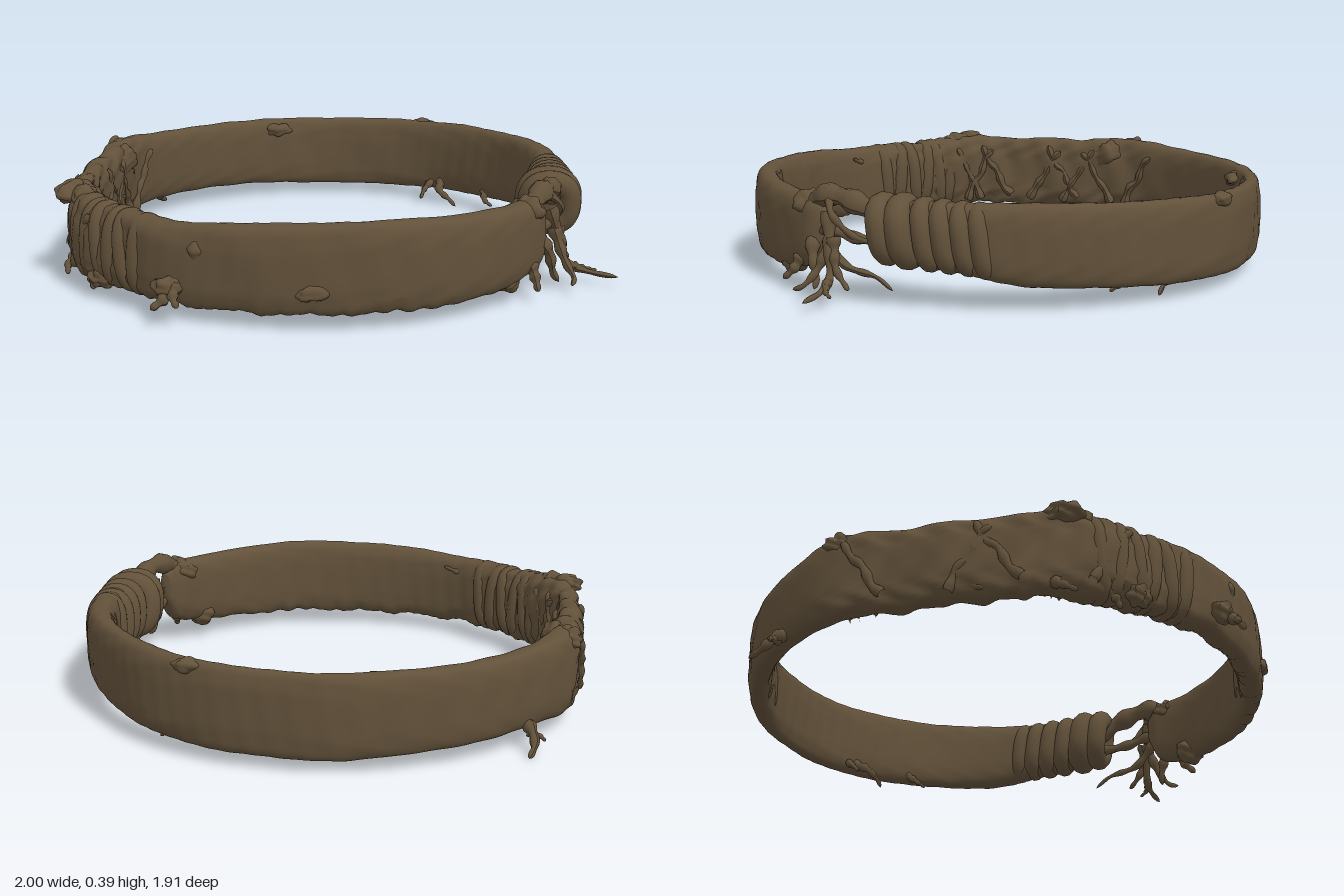
import * as THREE from 'three';
import { mergeGeometries } from 'three/addons/utils/BufferGeometryUtils.js';

const V = (x, y, z) => new THREE.Vector3(x, y, z);
const spow = (v, e) => Math.sign(v) * Math.abs(v) ** e;
const smooth = THREE.MathUtils.smoothstep;

// layered waves used as a rough-surface rule
const rough = (x, y, z) =>
  Math.sin(13 * x + 9 * z + 7 * y) * 0.5 +
  Math.sin(31 * x - 23 * z + 19 * y) * 0.3 +
  Math.sin(47 * z + 41 * y + 29 * x) * Math.sin(37 * x - 53 * y) * 0.5;

// band stations: x, z, half thickness, bottom, top
const STATIONS = [
  [0.71, 0.39, 0.02, 0.2, 0.3], [0.685, 0.45, 0.052, 0.1, 0.345], [0.58, 0.6, 0.052, 0.07, 0.35],
  [0.4, 0.755, 0.048, 0.065, 0.358], [0.2, 0.85, 0.048, 0.06, 0.367], [-0.03, 0.882, 0.048, 0.06, 0.362],
  [-0.28, 0.862, 0.05, 0.06, 0.35], [-0.5, 0.785, 0.055, 0.06, 0.335], [-0.68, 0.645, 0.065, 0.06, 0.335],
  [-0.83, 0.5, 0.065, 0.05, 0.34], [-0.91, 0.33, 0.058, 0.05, 0.35], [-0.93, 0.1, 0.048, 0.06, 0.35],
  [-0.925, -0.12, 0.048, 0.06, 0.345], [-0.915, -0.33, 0.058, 0.06, 0.36], [-0.8, -0.54, 0.048, 0.07, 0.345],
  [-0.61, -0.74, 0.045, 0.065, 0.34], [-0.4, -0.86, 0.042, 0.06, 0.34], [-0.2, -0.917, 0.038, 0.05, 0.34],
  [0, -0.92, 0.036, 0.05, 0.34], [0.2, -0.883, 0.038, 0.055, 0.345], [0.4, -0.785, 0.042, 0.06, 0.35],
  [0.55, -0.65, 0.042, 0.07, 0.355], [0.68, -0.48, 0.045, 0.08, 0.36], [0.76, -0.28, 0.055, 0.095, 0.365],
  [0.78, -0.1, 0.06, 0.13, 0.36], [0.77, 0.05, 0.06, 0.14, 0.36], [0.765, 0.16, 0.03, 0.2, 0.32],
];
const path = new THREE.CatmullRomCurve3(STATIONS.map(s => V(s[0], 0, s[1])));
const size = new THREE.CatmullRomCurve3(STATIONS.map(s => V(s[2], s[3], s[4])));

// centre, outward direction and section size of the band at t
function bandAt(t) {
  const tan = path.getTangent(t);
  return { p: path.getPoint(t), out: V(tan.z, 0, -tan.x).normalize(), s: size.getPoint(t) };
}

function bandGeometry(rows = 420, sides = 44) {
  const pos = [], index = [];
  for (let i = 0; i <= rows; i++) {
    const t = i / rows, { p, out, s } = bandAt(t);
    const taper = i === 0 || i === rows ? 0.02 : 1;
    // rougher on the weathered left side, smooth at the back
    const wild = smooth(-p.x, 0.45, 0.85) * smooth(p.z, -0.48, -0.25);
    const amp = 0.004 + 0.013 * wild;
    for (let j = 0; j < sides; j++) {
      const a = j / sides * Math.PI * 2, c = Math.cos(a), q = Math.sin(a);
      const y0 = (s.y + s.z) / 2 + spow(q, 0.6) * (s.z - s.y) / 2 * taper;
      const u = (spow(c, 0.65) * 0.9 + c * 0.1) * s.x * taper;
      const n = rough(p.x + out.x * u, y0, p.z + out.z * u) * amp * taper;
      const rag = q < -0.5 ? 0.009 * rough(p.x * 2, 0, p.z * 2) * smooth(p.z, -0.4, 0.2) * taper : 0;
      pos.push(p.x + out.x * (u + n * c), y0 + n * q * 0.6 + rag, p.z + out.z * (u + n * c));
      if (i < rows) {
        const k = (j + 1) % sides, A = i * sides + j, B = i * sides + k;
        index.push(A, B, A + sides, B, B + sides, A + sides);
      }
    }
  }
  const g = new THREE.BufferGeometry();
  g.setAttribute('position', new THREE.Float32BufferAttribute(pos, 3));
  g.setIndex(index);
  g.computeVertexNormals();
  return g;
}

// closed strand wound round the band
function windGeometry(c, out, halfOut, halfH, r, lean = 0) {
  const along = V(-out.z, 0, out.x), pts = [];
  for (let i = 0; i < 20; i++) {
    const a = i / 20 * Math.PI * 2;
    pts.push(c.clone().addScaledVector(out, spow(Math.cos(a), 0.8) * (halfOut - r))
      .addScaledVector(along, lean * Math.sin(a))
      .add(V(0, spow(Math.sin(a), 0.8) * (halfH - r), 0)));
  }
  return new THREE.TubeGeometry(new THREE.CatmullRomCurve3(pts, true), 72, r, 12, true);
}

// tapering, knobbly twig through points
function twigGeometry(pts, r, tip = 0.25) {
  const curve = new THREE.CatmullRomCurve3(pts.map(p => V(...p))), n = 20, sides = 8;
  const g = new THREE.TubeGeometry(curve, n, r, sides), pos = g.attributes.position, v = V(0, 0, 0);
  for (let i = 0; i < pos.count; i++) {
    const f = Math.floor(i / (sides + 1)) / n;
    const k = f === 1 ? 0.02 : (1 - (1 - tip) * f) * (1 + 0.2 * Math.sin(f * 23));
    v.fromBufferAttribute(pos, i);
    v.sub(curve.getPointAt(f)).multiplyScalar(k).add(curve.getPointAt(f));
    pos.setXYZ(i, v.x, v.y, v.z);
  }
  g.computeVertexNormals();
  return g;
}

// uneven lump: centre and radii
function lumpGeometry([x, y, z, rx, ry, rz]) {
  const g = new THREE.SphereGeometry(1, 24, 16).scale(rx, ry, rz).translate(x, y, z);
  const pos = g.attributes.position;
  for (let i = 0; i < pos.count; i++) {
    const k = 1 + 0.35 * rough(pos.getX(i) * 2, pos.getY(i) * 2, pos.getZ(i) * 2);
    pos.setXYZ(i, x + (pos.getX(i) - x) * k, y + (pos.getY(i) - y) * k, z + (pos.getZ(i) - z) * k);
  }
  g.computeVertexNormals();
  return g;
}

export function createModel() {
  const group = new THREE.Group();
  const bark = new THREE.MeshStandardMaterial({ color: 0x62513a });
  bark.name = 'brown bark';
  const add = (name, geos) => {
    const m = new THREE.Mesh(geos.length > 1 ? mergeGeometries(geos) : geos[0], bark);
    m.name = name;
    group.add(m);
  };

  add('band', [bandGeometry()]);

  // clasp coils on the left-hand side: z, half width, half height, strand radius
  add('claspCoils', [
    [0.165, 0.115, 0.122, 0.042], [0.095, 0.122, 0.128, 0.046], [0.015, 0.1, 0.125, 0.034],
    [-0.05, 0.095, 0.125, 0.036], [-0.115, 0.09, 0.125, 0.034], [-0.175, 0.08, 0.128, 0.034],
  ].map(([z, w, h, r], i) => windGeometry(V(0.765 + (i > 1 ? 0.012 : 0), 0.258 - i * 0.004, z), V(1, 0, 0), w, h, r, 0.015)));

  // rope eye joining the band end to the coils
  add('claspLoop', [
    twigGeometry([[0.66, 0.27, 0.49], [0.7, 0.34, 0.43], [0.74, 0.355, 0.34], [0.765, 0.325, 0.24], [0.77, 0.27, 0.13]], 0.038, 0.9),
    twigGeometry([[0.68, 0.2, 0.46], [0.74, 0.24, 0.38], [0.76, 0.22, 0.28], [0.77, 0.21, 0.15]], 0.022, 0.8),
    twigGeometry([[0.74, 0.35, 0.38], [0.79, 0.3, 0.35], [0.78, 0.23, 0.28], [0.77, 0.2, 0.18]], 0.014, 0.6),
  ]);

  // roots hanging below the clasp
  add('claspRoots', [
    twigGeometry([[0.75, 0.3, 0.38], [0.79, 0.18, 0.36], [0.82, 0.09, 0.35], [0.89, 0.06, 0.35], [1.0, 0.045, 0.37]], 0.026),
    twigGeometry([[0.78, 0.22, 0.35], [0.81, 0.12, 0.33], [0.83, 0.07, 0.29], [0.85, 0.06, 0.27]], 0.024),
    twigGeometry([[0.77, 0.22, 0.36], [0.81, 0.11, 0.4], [0.84, 0.06, 0.44], [0.83, 0.045, 0.48]], 0.024),
    twigGeometry([[0.84, 0.08, 0.35], [0.9, 0.06, 0.33], [0.93, 0.05, 0.3]], 0.016),
    twigGeometry([[0.69, 0.24, 0.46], [0.75, 0.15, 0.44], [0.77, 0.07, 0.42], [0.79, 0.04, 0.42]], 0.032),
    twigGeometry([[0.67, 0.16, 0.5], [0.7, 0.09, 0.53], [0.71, 0.05, 0.57]], 0.032),
    twigGeometry([[0.72, 0.2, 0.4], [0.75, 0.12, 0.32], [0.77, 0.09, 0.2], [0.78, 0.05, 0.14]], 0.02),
  ]);

  // strands wound round the right-hand front of the band
  const winds = [];
  for (let i = 0; i < 6; i++) {
    const { p, out, s } = bandAt((7.55 + i * 0.3) / (STATIONS.length - 1));
    p.y = (s.y + s.z) / 2;
    winds.push(windGeometry(p, out, s.x + 0.016, (s.z - s.y) / 2 + 0.008, 0.03, 0.012 * (i % 2 ? 1 : -1)));
  }
  add('sideWindings', winds);

  // gnarled veins crossing the weathered side, inside and outside
  const veins = [];
  for (let i = 0; i < 12; i++) {
    const side = i % 3 === 0 ? 1 : -1, pts = [];
    for (let k = 0; k < 5; k++) {
      const { p, out, s } = bandAt((9.2 + i * 0.34 + k * 0.16 * (i % 2 ? 1 : -1)) / (STATIONS.length - 1));
      p.addScaledVector(out, side * s.x * 0.95);
      pts.push([p.x, 0.09 + k * 0.055 + 0.015 * Math.sin(i * 5 + k * 3), p.z]);
    }
    veins.push(twigGeometry(pts, 0.017, 0.7));
  }
  add('sideVeins', veins);

  // loose twigs at the back and along the lower edge
  add('looseTwigs', [
    twigGeometry([[-0.77, 0.11, -0.55], [-0.82, 0.08, -0.6], [-0.835, 0.04, -0.64], [-0.82, 0.012, -0.7]], 0.028),
    twigGeometry([[-0.81, 0.07, -0.6], [-0.85, 0.06, -0.61], [-0.87, 0.04, -0.6]], 0.016),
    twigGeometry([[0.37, 0.1, -0.79], [0.36, 0.07, -0.73], [0.4, 0.04, -0.7], [0.43, 0.01, -0.69]], 0.022),
    twigGeometry([[0.34, 0.1, -0.81], [0.3, 0.07, -0.77], [0.28, 0.03, -0.73]], 0.02),
    twigGeometry([[0.55, 0.1, -0.62], [0.55, 0.07, -0.58], [0.58, 0.05, -0.55]], 0.018),
    twigGeometry([[-0.5, 0.13, 0.82], [-0.51, 0.1, 0.88], [-0.55, 0.07, 0.91]], 0.034),
    twigGeometry([[-0.47, 0.15, 0.83], [-0.48, 0.11, 0.89], [-0.46, 0.08, 0.92]], 0.03),
    twigGeometry([[-0.84, 0.1, 0.52], [-0.83, 0.05, 0.56], [-0.82, 0.02, 0.57]], 0.025),
    twigGeometry([[-0.92, 0.1, 0.36], [-0.95, 0.06, 0.42], [-0.94, 0.04, 0.46]], 0.025),
    twigGeometry([[-0.55, 0.3, 0.74], [-0.48, 0.28, 0.75], [-0.41, 0.3, 0.76]], 0.02),
  ]);

  // knots on the surface
  add('knots', [
    [-0.03, 0.14, 0.925, 0.05, 0.03, 0.026], [-0.35, 0.3, -0.835, 0.06, 0.03, 0.03],
    [-0.94, 0.32, -0.34, 0.045, 0.045, 0.06], [-0.88, 0.3, -0.22, 0.04, 0.05, 0.05],
    [-0.93, 0.33, 0.41, 0.05, 0.035, 0.06], [-0.86, 0.33, 0.46, 0.05, 0.035, 0.05],
    [0.66, 0.31, 0.48, 0.06, 0.05, 0.06], [0.6, 0.1, 0.57, 0.05, 0.04, 0.05],
    [0.29, 0.33, -0.875, 0.05, 0.022, 0.03], [-0.4, 0.26, 0.865, 0.03, 0.03, 0.02],
    [-0.78, 0.08, 0.62, 0.05, 0.04, 0.04], [-0.94, 0.1, 0.15, 0.045, 0.04, 0.06],
    [-0.5, 0.13, 0.85, 0.05, 0.04, 0.04],
  ].map(lumpGeometry));

  return group;
}
